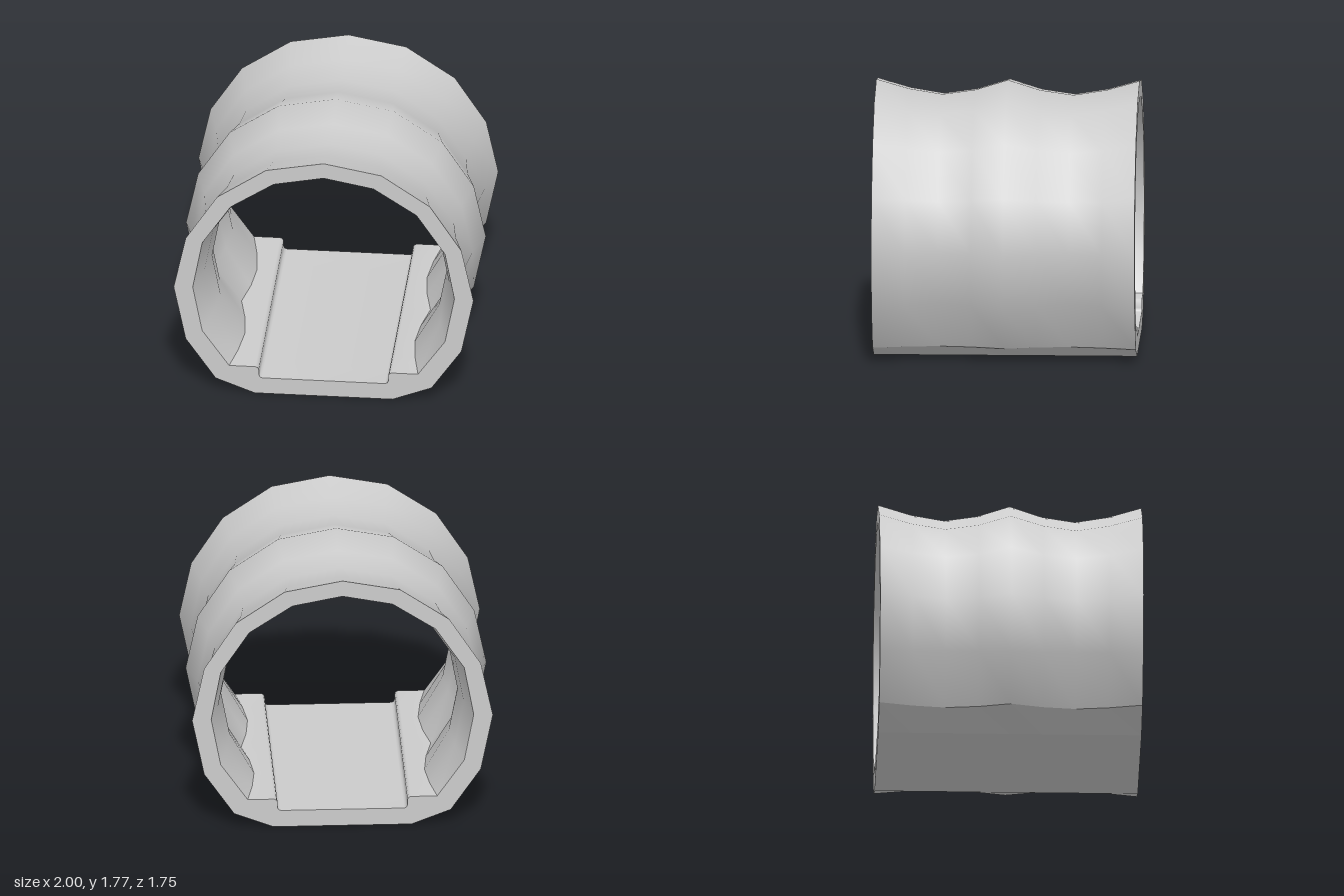
import * as THREE from 'three';
import { toCreasedNormals } from 'three/addons/utils/BufferGeometryUtils.js';

const material = new THREE.MeshStandardMaterial({ color: 0xcccccc });
const CENTRE_Y = 0.78;

// Ring stations along z and the scale of the tunnel at each
const half = [[0, 1], [0.215, 0.932], [0.435, 0.9], [0.655, 0.936], [0.875, 1]];
const stations = [...half.slice(1).reverse().map(([z, k]) => [-z, k]), ...half];

// Half profiles (x >= 0), running from the bottom upwards
const outerHalf = [[0.72, 0.1], [0.92, 0.39], [1, 0.78], [0.92, 1.155], [0.71, 1.48], [0.385, 1.7], [0, 1.772]];
const innerHalf = [[0.63, 0.2], [0.81, 0.457], [0.873, 0.785], [0.81, 1.125], [0.62, 1.41], [0.333, 1.597], [0, 1.661]];
// Kerb beside the floor, from the wall inwards
const kerbHalf = [[0.63, 0.2], [0.455, 0.2], [0.439, 0.193], [0.432, 0.177], [0.432, 0.14], [0.425, 0.123], [0.41, 0.117]];
const baseHalf = [[0.46, 0], [0.72, 0.1]];

const flip = pts => pts.map(([x, y]) => [-x, y]);
const mirrorArch = pts => [...pts, ...flip(pts.slice(0, -1)).reverse()];

// The arch swells and narrows; foot points only slide sideways, the floor stays straight
function place([x, y], k) {
  if (Math.abs(x) < 0.5 && y < 0.25) return [x, y];
  return [x * k, y > 0.25 ? CENTRE_Y + (y - CENTRE_Y) * k : y];
}

// Skin a profile through all stations
function loft(profile, crease) {
  const n = profile.length, positions = [], index = [];
  for (const [z, k] of stations) {
    for (const p of profile) positions.push(...place(p, k), z);
  }
  for (let j = 0; j < stations.length - 1; j++) {
    for (let i = 0; i < n - 1; i++) {
      const a = j * n + i, b = a + 1, c = b + n, d = a + n;
      index.push(a, b, c, a, c, d);
    }
  }
  const geometry = new THREE.BufferGeometry();
  geometry.setAttribute('position', new THREE.Float32BufferAttribute(positions, 3));
  geometry.setIndex(index);
  geometry.computeVertexNormals();
  return crease === undefined ? geometry : toCreasedNormals(geometry, crease);
}

export function createModel() {
  const group = new THREE.Group();
  const add = (name, geometry) => {
    const mesh = new THREE.Mesh(geometry, material);
    mesh.name = name;
    group.add(mesh);
    return mesh;
  };

  const outer = mirrorArch(outerHalf);
  const inner = mirrorArch(innerHalf).reverse();
  const floor = [...kerbHalf, ...flip(kerbHalf).reverse()];
  const base = [...flip(baseHalf).reverse(), ...baseHalf];

  // Smooth ribbed shell, inside and out
  add('outerShell', loft(outer));
  add('innerShell', loft(inner));

  // Walkway with raised kerbs, and the flat underside with bevelled edges
  add('floorAndKerbs', loft(floor, 0.9));
  add('underside', loft(base, 0.05));

  // End faces: outer outline with the bore cut away
  const toVectors = pts => pts.map(([x, y]) => new THREE.Vector2(x, y));
  const face = new THREE.Shape(toVectors([...outer, ...flip(baseHalf).reverse().slice(1), baseHalf[0]]));
  face.holes.push(new THREE.Path(toVectors([...inner, ...floor.slice(1, -1)])));
  const faceGeometry = new THREE.ShapeGeometry(face);
  add('frontRim', faceGeometry).position.z = 0.875;
  const back = add('backRim', faceGeometry);
  back.position.z = -0.875;
  back.rotation.y = Math.PI;

  return group;
}
